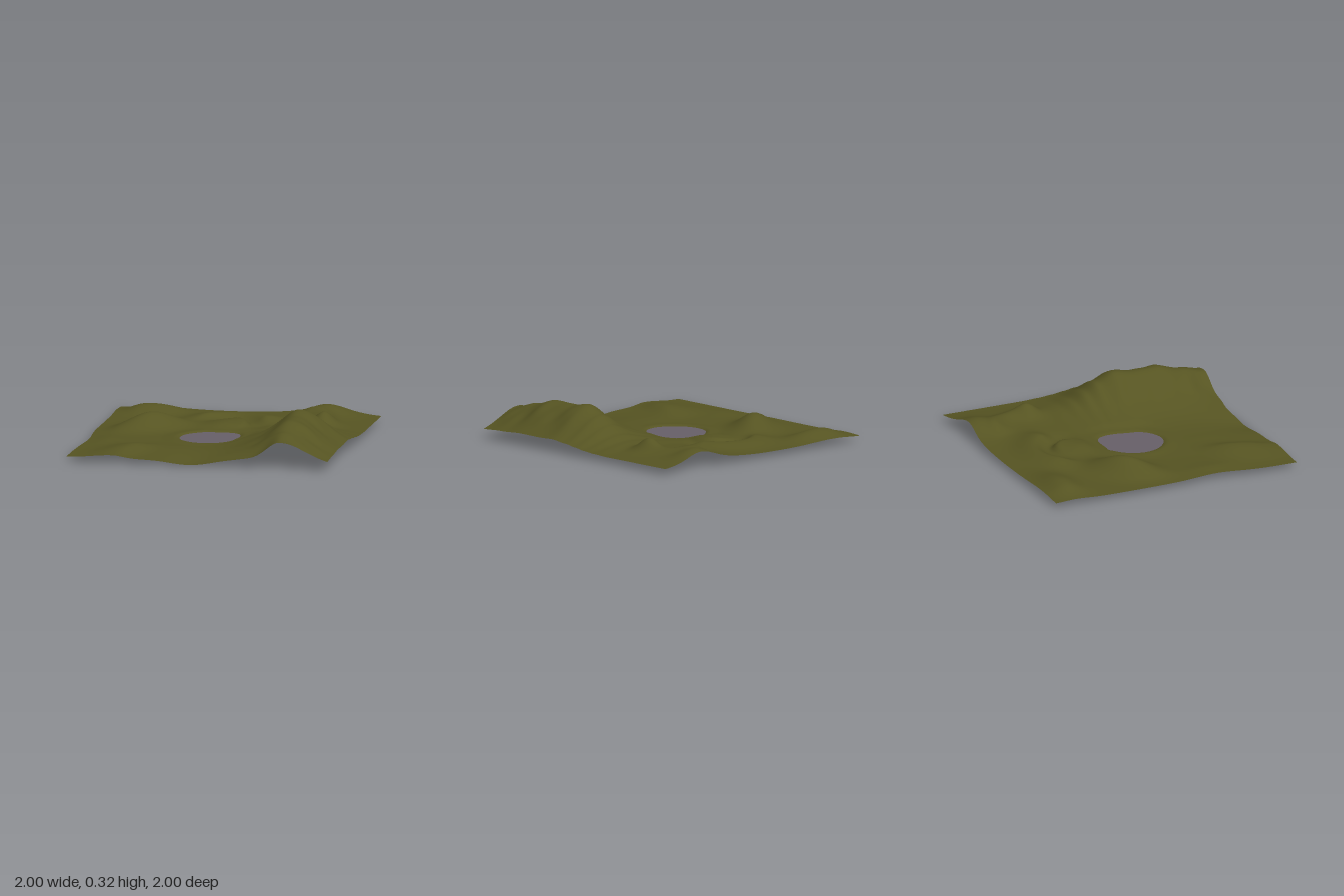
import * as THREE from 'three';

const gauss = (d, s) => Math.exp(-((d / s) ** 2));
const smooth = (a, b, v) => THREE.MathUtils.smoothstep(v, a, b);
const lerp = THREE.MathUtils.lerp;

// Rotated bell-shaped hill
function hill(x, z, cx, cz, sx, sz, angle = 0) {
  const dx = x - cx, dz = z - cz, c = Math.cos(angle), s = Math.sin(angle);
  return gauss(dx * c + dz * s, sx) * gauss(-dx * s + dz * c, sz);
}

// Heights along the crest of the main ridge, as [z, height above ground]
const CREST = [[-0.35, 0.042], [-0.2, 0.065], [-0.1, 0.1], [0, 0.158], [0.1, 0.22],
  [0.25, 0.282], [0.4, 0.258], [0.6, 0.263], [0.8, 0.212], [1, 0.168]];

function crestHeight(z) {
  if (z <= CREST[0][0]) return CREST[0][1];
  for (let i = 1; i < CREST.length; i++) {
    const [z0, h0] = CREST[i - 1], [z1, h1] = CREST[i];
    if (z <= z1) return lerp(h0, h1, smooth(z0, z1, z));
  }
  return CREST[CREST.length - 1][1];
}

// Main ridge: hollow west slope, rounder east slope, shallow gullies
function ridge(x, z) {
  const dx = x - 0.63;
  const narrow = 0.215 - 0.07 * smooth(0.75, 1, z) + 0.1 * (1 - smooth(-0.3, 0.1, z));
  const shape = dx < 0 ? 1 / (1 + (dx / narrow) ** 2) : gauss(dx, 0.3);
  const gully = smooth(0.1, 0.3, z) * gauss(Math.abs(dx) - 0.16, 0.1)
    * (0.005 * Math.sin(z * 19 + x * 11) + 0.003 * Math.sin(z * 43 - x * 17));
  return crestHeight(z) * shape * smooth(-0.2, 0.35, x) + gully;
}

// Front left spur, steep on its east side and sinking toward the border
function spur(x, z) {
  const dx = x - (-0.59 - 0.24 * (z - 0.75));
  return 0.05 * gauss(dx, dx > 0 ? 0.11 : 0.2) * smooth(0.35, 0.7, z) * (1 - 0.55 * smooth(0.75, 1, z));
}

// Curled banks behind the pond and in the back right corner
function banks(x, z) {
  // Mound with a sharp lip on its north east side only
  let r = Math.hypot(x + 0.06, z + 0.4), a = Math.atan2(-(z + 0.4), x + 0.06);
  const lip = gauss(a - 0.75, 1.1);
  let h = 0.048 * lerp(gauss(r, 0.18), 1 - smooth(0.13, 0.19, r), lip);
  // Outer bank around it
  h += 0.05 * gauss(r - 0.31, r < 0.31 ? 0.065 : 0.14) * smooth(0.1, 0.6, a) * (1 - smooth(2.2, 3, a));
  h -= 0.012 * hill(x, z, 0.17, -0.42, 0.07, 0.12);
  // Back right curl
  r = Math.hypot(x - 0.42, z + 0.55);
  a = Math.atan2(-(z + 0.55), x - 0.42);
  h += 0.035 * gauss(r - 0.26, r < 0.26 ? 0.09 : 0.07) * smooth(-0.8, -0.2, a) * (1 - smooth(1.2, 1.9, a));
  return h + 0.06 * hill(x, z, 0.67, -0.45, 0.1, 0.1);
}

function terrainHeight(x, z) {
  let h = 0.037 + ridge(x, z) + spur(x, z) + banks(x, z);
  h += 0.12 * hill(x, z, -0.61, -0.25, 0.26, 0.15, -0.75);
  h += 0.07 * hill(x, z, -0.72, -0.83, 0.28, 0.14);
  h += 0.06 * hill(x, z, 0.6, -0.92, 0.17, 0.16);
  h += 0.025 * hill(x, z, -0.95, 0.35, 0.25, 0.25);
  h += 0.012 * hill(x, z, -0.3, 0.55, 0.3, 0.2);
  h -= 0.03 * hill(x, z, -0.06, 1, 0.2, 0.22, 0.3);
  // Settle toward the left border
  h = lerp(h, 0.038, 0.6 * smooth(0.8, 1, -x));
  // Pond bowl
  const px = x + 0.1, pz = z - 0.06, a = Math.atan2(pz, px);
  const radius = 0.222 + 0.045 * gauss(a + 0.85, 0.42) + 0.015 * gauss(a + 1.85, 0.15)
    - 0.025 * gauss(a - 0.2, 0.4) + 0.012 * gauss(a - 1.6, 0.5);
  const d = Math.hypot(px, pz) / radius;
  const rim = lerp(0.047, h, smooth(1.1, 1.7, d));
  const floor = 0.018 - 0.018 * hill(x, z, -0.02, 0.12, 0.08, 0.15);
  return lerp(floor, rim, smooth(0.82, 1.14, d));
}

function createTerrain(material) {
  const geometry = new THREE.PlaneGeometry(2, 2, 110, 110).rotateX(-Math.PI / 2);
  const p = geometry.attributes.position;
  for (let i = 0; i < p.count; i++) {
    const x = p.getX(i), z = p.getZ(i);
    // Gently wavy borders
    const left = 0.035 * gauss(z - 0.35, 0.25) * smooth(0.7, 1, -x);
    const back = 0.028 * gauss(x - 0.62, 0.24) * smooth(0.7, 1, -z);
    const front = 0.015 * gauss(x - 0.2, 0.1) * smooth(0.8, 1, z);
    p.setXYZ(i, x + left, terrainHeight(x, z), z + back - front);
  }
  geometry.computeVertexNormals();
  const mesh = new THREE.Mesh(geometry, material);
  mesh.name = 'terrain';
  return mesh;
}

export function createModel() {
  const group = new THREE.Group();
  group.name = 'landscape';

  const grass = new THREE.MeshStandardMaterial({ color: 0x565422, side: THREE.DoubleSide });
  grass.name = 'olive grass';
  const waterMaterial = new THREE.MeshStandardMaterial({ color: 0x686069, side: THREE.DoubleSide });
  waterMaterial.name = 'grey water';

  group.add(createTerrain(grass));

  // Flat water sheet, its corners hidden beneath the banks
  const water = new THREE.Mesh(new THREE.PlaneGeometry(0.46, 0.5).rotateX(-Math.PI / 2), waterMaterial);
  water.name = 'pondWater';
  water.position.set(-0.105, 0.036, 0.05);
  group.add(water);

  return group;
}
